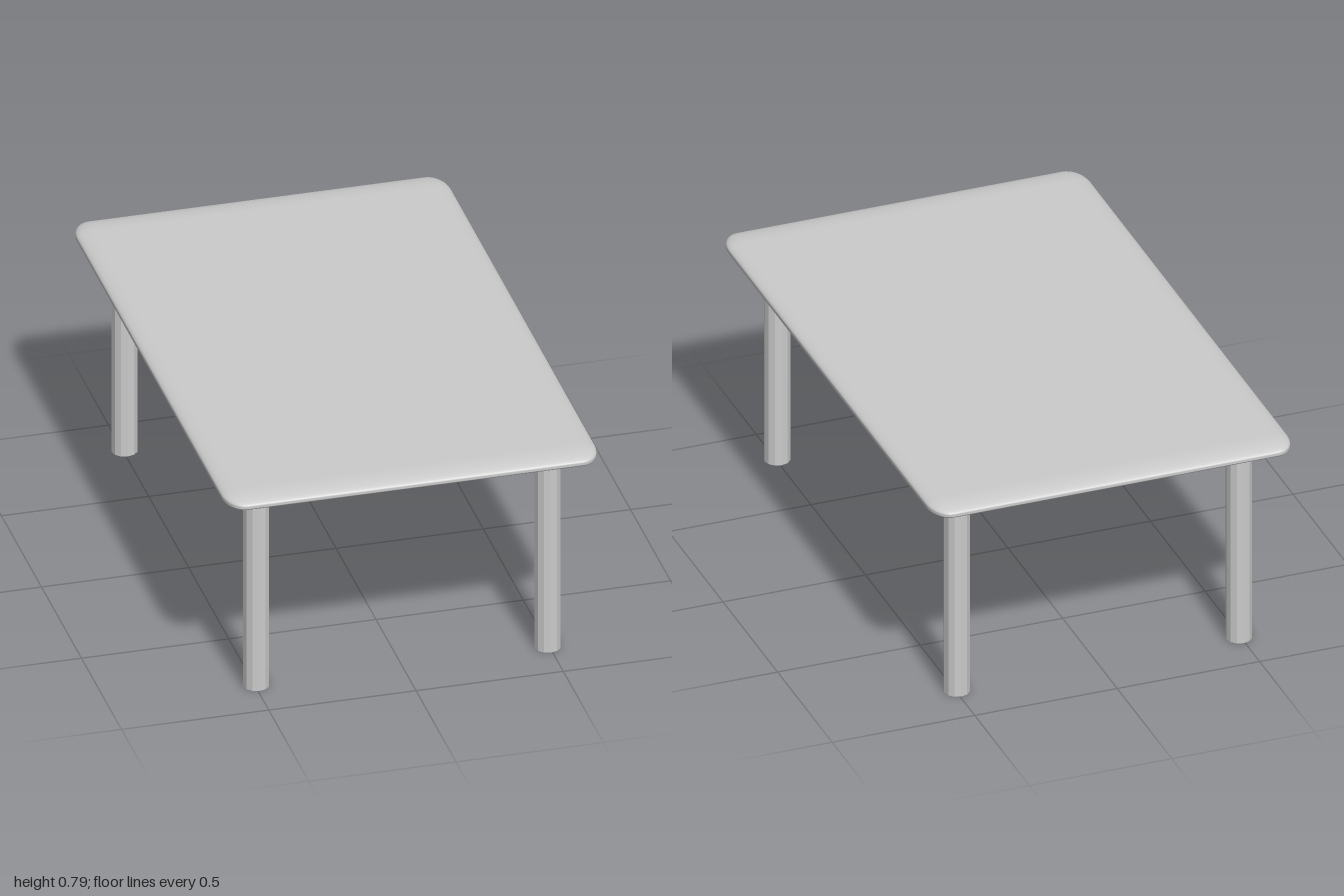
import * as THREE from 'three';
import { RoundedBoxGeometry } from 'three/addons/geometries/RoundedBoxGeometry.js';

export function createModel() {
  const group = new THREE.Group();
  const smooth = new THREE.MeshStandardMaterial({ color: 0xcccccc });
  const faceted = new THREE.MeshStandardMaterial({ color: 0xcccccc, flatShading: true });

  const add = (name, geometry, material, x, y, z) => {
    const mesh = new THREE.Mesh(geometry, material);
    mesh.name = name;
    mesh.position.set(x, y, z);
    group.add(mesh);
  };

  // Table top: a rounded slab whose edge radius is stretched per axis
  const width = 1.27, height = 0.048, depth = 2;
  const rx = 0.065, ry = 0.021, rz = 0.1;
  const top = new RoundedBoxGeometry(width / rx, height / ry, depth / rz, 5, 1);
  top.scale(rx, ry, rz);
  add('tableTop', top, smooth, 0, 0.766, 0);

  // Four legs, each with a thin mounting plate under the top
  const legHeight = 0.742;
  const leg = new THREE.CylinderGeometry(0.044, 0.044, legHeight, 12);
  const plate = new THREE.CylinderGeometry(0.076, 0.076, 0.01, 24);
  for (const [sx, side] of [[1, 'Left'], [-1, 'Right']]) {
    for (const [sz, end] of [[1, 'front'], [-1, 'back']]) {
      const x = sx * 0.495, z = sz * 0.823;
      add(`${end}${side}Leg`, leg, faceted, x, legHeight / 2, z);
      add(`${end}${side}MountingPlate`, plate, faceted, x, 0.74, z);
    }
  }
  return group;
}
